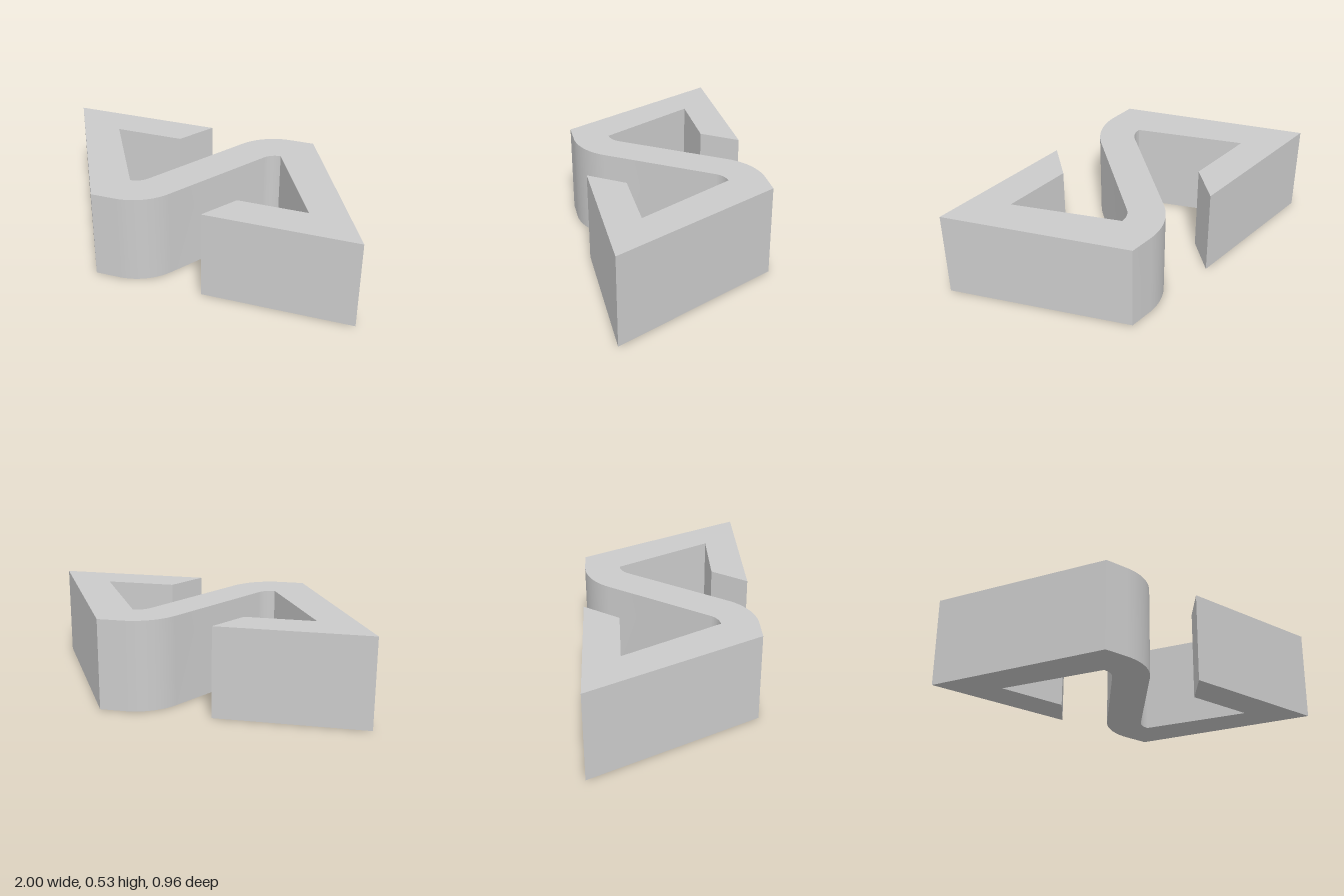
import * as THREE from 'three';
import { toCreasedNormals } from 'three/addons/utils/BufferGeometryUtils.js';

const HEIGHT = 0.53;
const TILT = THREE.MathUtils.degToRad(34.9); // normal direction of the diagonal bar

// Half of the outline; s = 1 or -1 turns it half a revolution about the centre
function addHalf(shape, s) {
  const turn = s > 0 ? 0 : Math.PI;
  const line = (x, z) => shape.lineTo(s * x, s * z);
  const arc = (x, z, r, from, to, clockwise) =>
    shape.absarc(s * x, s * z, r, from + turn, to + turn, clockwise);

  line(-1, -0.478);
  line(-0.51, 0.478);
  // outer bend, then diagonal, then inner bend
  arc(-0.37, 0.158, 0.32, Math.PI / 2, TILT, true);
  arc(0.365, -0.158, 0.11, Math.PI + TILT, Math.PI * 1.5, false);
  // hooked end with a slanted cut
  line(0.667, 0.28);
  line(0.267, 0.28);
  line(0.127, 0.478);
}

export function createModel() {
  const group = new THREE.Group();
  group.name = 'zigzagBlock';

  const shape = new THREE.Shape();
  shape.moveTo(-1, -0.478);
  addHalf(shape, 1);
  addHalf(shape, -1);
  shape.closePath();

  // Extrude the plan, then lay it flat with its base on the ground
  const extruded = new THREE.ExtrudeGeometry(shape, {
    depth: HEIGHT, bevelEnabled: false, curveSegments: 20,
  });
  extruded.rotateX(Math.PI / 2).translate(0, HEIGHT, 0);

  const band = new THREE.Mesh(
    toCreasedNormals(extruded, Math.PI / 6),
    new THREE.MeshStandardMaterial({ color: 0xcccccc }),
  );
  band.name = 'zigzagBand';
  group.add(band);
  return group;
}
